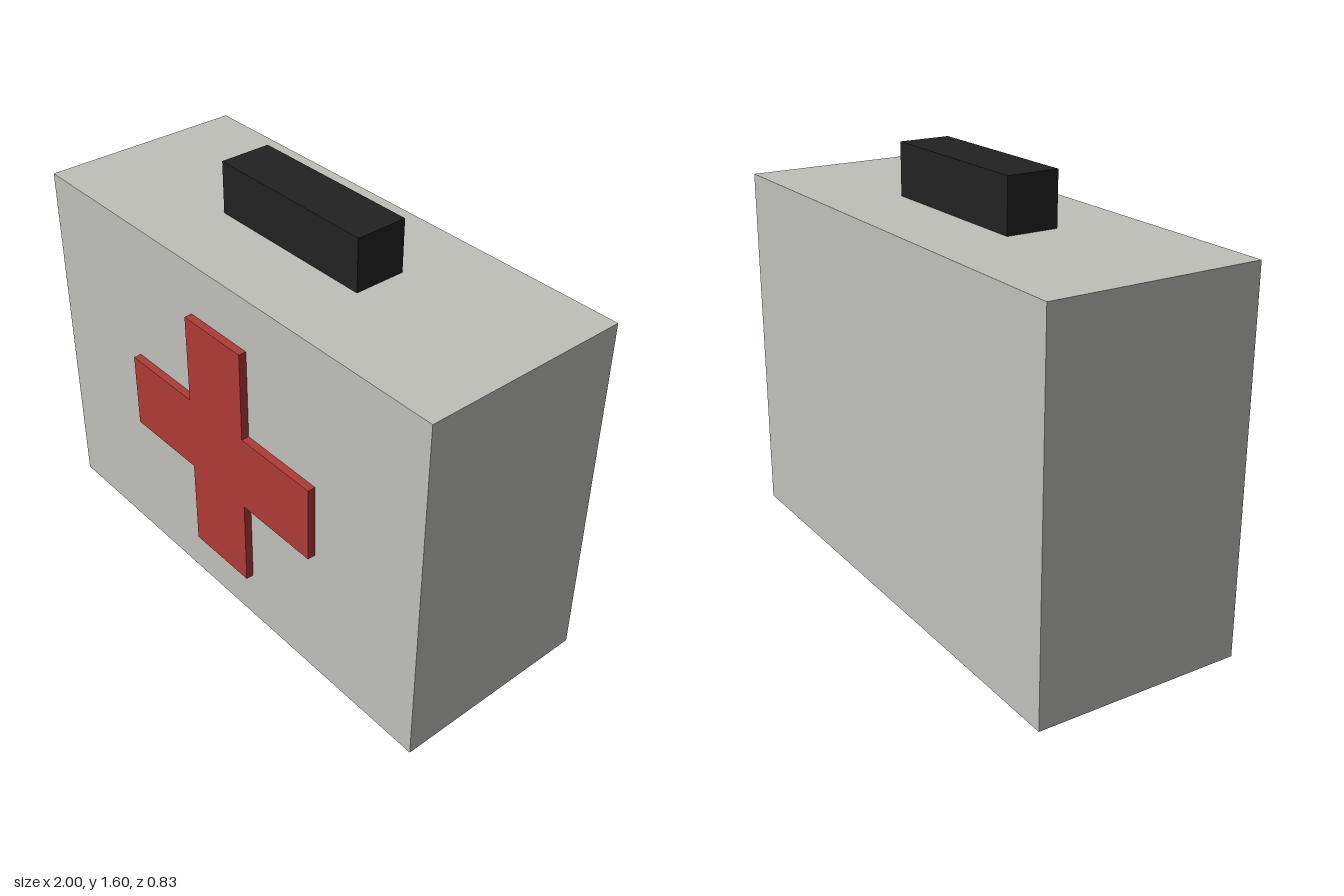
import * as THREE from 'three';

const material = (name, color) => {
  const m = new THREE.MeshStandardMaterial({ color });
  m.name = name;
  return m;
};

export function createModel() {
  const group = new THREE.Group();
  group.name = 'firstAidKit';
  const grey = material('warm grey', 0xc0c0bb);
  const black = material('black', 0x222222);
  const red = material('red', 0xb03a36);

  const add = (name, geometry, mat, x, y, z) => {
    const mesh = new THREE.Mesh(geometry, mat);
    mesh.name = name;
    mesh.position.set(x, y, z);
    group.add(mesh);
  };

  // Case and the solid block handle on its lid
  add('case', new THREE.BoxGeometry(2, 1.4, 0.8), grey, 0, 0.7, -0.015);
  add('handle', new THREE.BoxGeometry(0.7, 0.2, 0.2), black, 0, 1.5, -0.015);

  // Raised cross on the front: one arm outline turned four times
  const w = 0.15, r = 0.5;
  const points = [];
  for (let i = 0; i < 4; i++) {
    for (const [x, y] of [[r, -w], [r, w], [w, w]]) {
      points.push(new THREE.Vector2(x, y).rotateAround(new THREE.Vector2(), i * Math.PI / 2));
    }
  }
  const cross = new THREE.ExtrudeGeometry(new THREE.Shape(points), { depth: 0.03, bevelEnabled: false });
  add('cross', cross, red, 0, 0.7, 0.385);

  return group;
}
